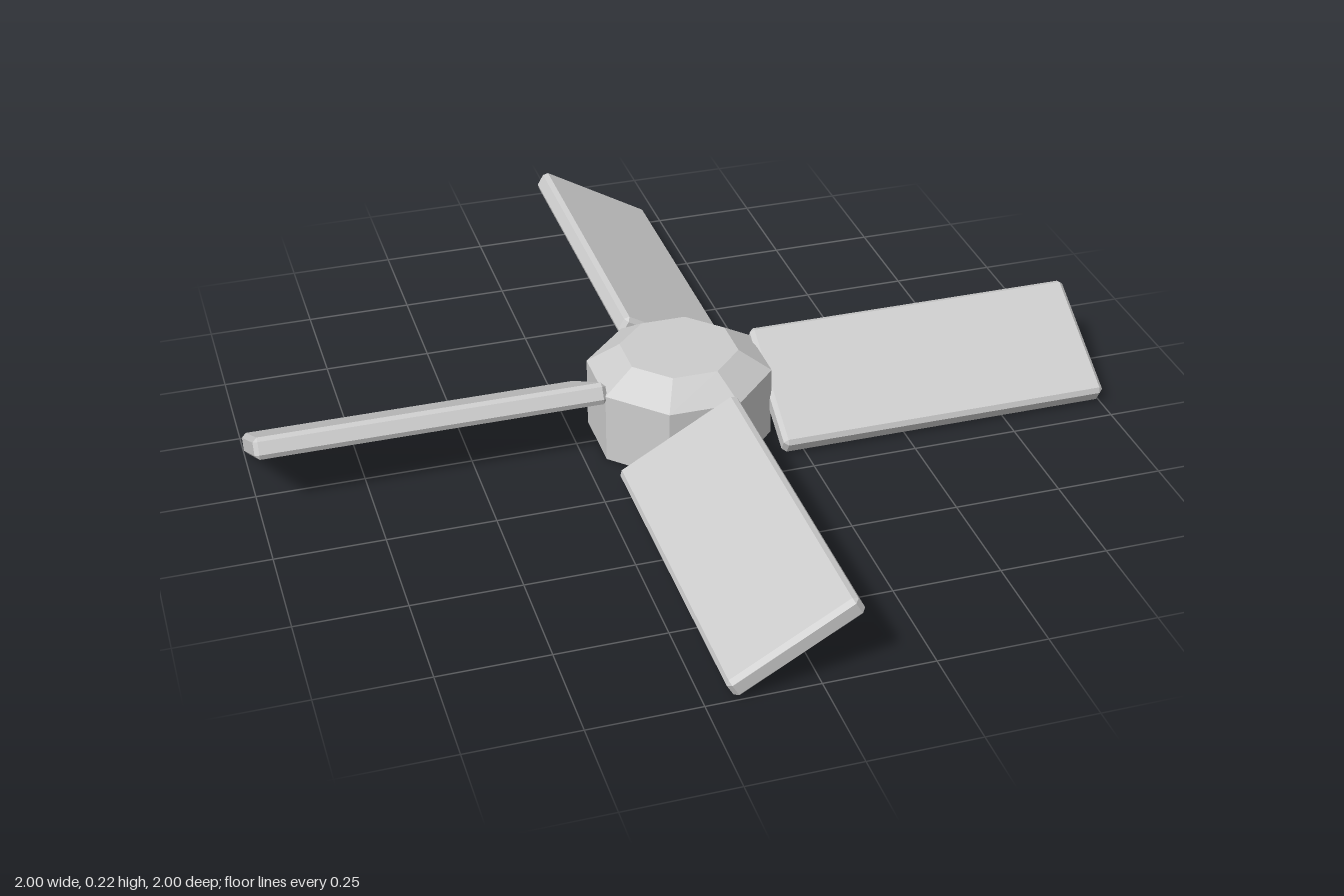
import * as THREE from 'three';
import { ConvexGeometry } from 'three/addons/geometries/ConvexGeometry.js';

// Box with every edge and corner chamfered by c (half sizes x, y, z)
function chamferedBox(x, y, z, c) {
  const points = [];
  for (const sx of [-1, 1]) for (const sy of [-1, 1]) for (const sz of [-1, 1]) {
    points.push(
      new THREE.Vector3(sx * x, sy * (y - c), sz * (z - c)),
      new THREE.Vector3(sx * (x - c), sy * y, sz * (z - c)),
      new THREE.Vector3(sx * (x - c), sy * (y - c), sz * z)
    );
  }
  return new ConvexGeometry(points);
}

// Octagonal prism section with flats facing the axes, sized by apothem
function octagon(topApothem, bottomApothem, height, openEnded) {
  const k = 1 / Math.cos(Math.PI / 8);
  const geometry = new THREE.CylinderGeometry(topApothem * k, bottomApothem * k, height, 8, 1, openEnded);
  return geometry.rotateY(Math.PI / 8).translate(0, height / 2, 0);
}

export function createModel() {
  const model = new THREE.Group();
  model.name = 'fanRotor';
  const metal = new THREE.MeshStandardMaterial({ color: 0xcccccc, flatShading: true });
  metal.name = 'lightGrey';

  // Hub: octagonal drum with a sloped cap
  const hub = new THREE.Group();
  hub.name = 'hub';
  const drum = new THREE.Mesh(octagon(0.2, 0.2, 0.17, false), metal);
  drum.name = 'hubDrum';
  const cap = new THREE.Mesh(octagon(0.128, 0.2, 0.05, false), metal);
  cap.name = 'hubCap';
  cap.position.y = 0.17;
  hub.add(drum, cap);
  model.add(hub);

  // Four blades pitched 30 degrees, offset from the radial line
  const bladeGeometry = chamferedBox(0.159, 0.025, 0.4025, 0.01);
  for (let i = 0; i < 4; i++) {
    const arm = new THREE.Group();
    arm.name = 'bladeArm' + (i + 1);
    const blade = new THREE.Mesh(bladeGeometry, metal);
    blade.name = 'blade' + (i + 1);
    blade.position.set(-0.056, 0.1, 0.5975);
    blade.rotation.z = Math.PI / 6;
    arm.add(blade);
    arm.rotation.y = (i * Math.PI) / 2;
    model.add(arm);
  }
  return model;
}
